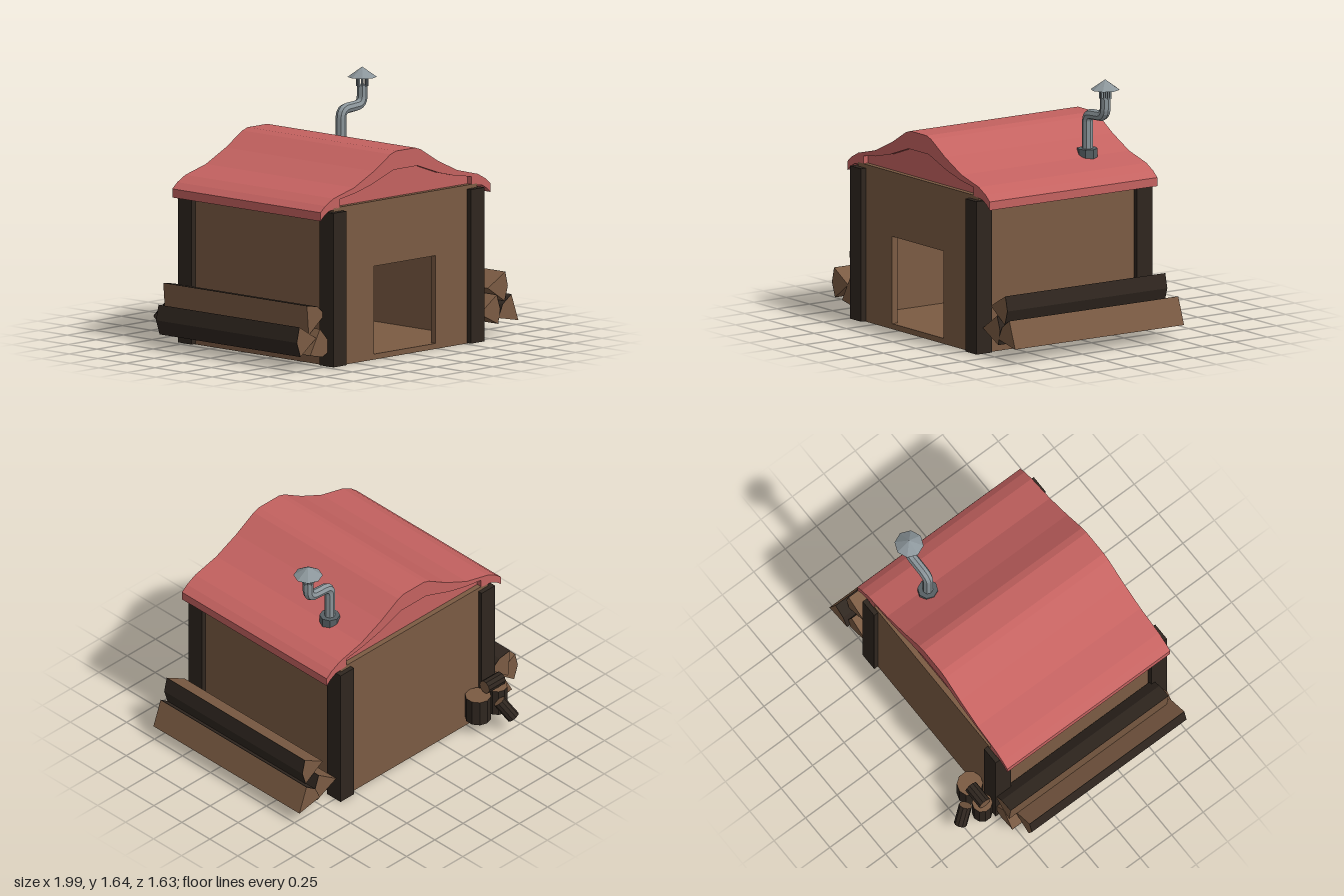
import * as THREE from 'three';

const mat = (color) => new THREE.MeshStandardMaterial({ color, flatShading: true, side: THREE.DoubleSide });

export function createModel() {
  const model = new THREE.Group();
  const wood = mat(0x7b5b43), bark = mat(0x2f261f), red = mat(0xc46260);
  const metal = mat(0x8c969b), darkMetal = mat(0x576064);

  const add = (name, geometry, material, parent = model) => {
    const mesh = new THREE.Mesh(geometry, material);
    mesh.name = name;
    parent.add(mesh);
    return mesh;
  };
  // box given by its minimum and maximum corners
  const box = (name, a, b, material) => {
    const m = add(name, new THREE.BoxGeometry(b[0] - a[0], b[1] - a[1], b[2] - a[2]), material);
    m.position.set((a[0] + b[0]) / 2, (a[1] + b[1]) / 2, (a[2] + b[2]) / 2);
    return m;
  };
  const shapeOf = (pts) => new THREE.Shape(pts.map((p) => new THREE.Vector2(p[0], p[1])));
  // outline in x and y, extruded from z0 to z1
  const extrude = (name, shape, z0, z1, material, parent) => {
    const g = new THREE.ExtrudeGeometry(shape, { depth: z1 - z0, bevelEnabled: false });
    g.translate(0, 0, z0);
    return add(name, g, material, parent);
  };

  // hollow cabin with a door opening
  const L = -0.69, R = 0.61, F = 0.775, B = -0.52, T = 0.04, H = 1.015;
  const front = shapeOf([[L, 0.005], [R, 0.005], [R, H], [L, H]]);
  front.holes.push(new THREE.Path([[-0.32, 0.04], [-0.32, 0.6], [0.235, 0.6], [0.235, 0.04]]
    .map((p) => new THREE.Vector2(...p))));
  extrude('frontWall', front, F - T, F, wood);
  box('backWall', [L, 0.005, B], [R, H, B + T], wood);
  box('rightWall', [L, 0.005, B + T], [L + T, H, F - T], wood);
  box('leftWall', [R - T, 0.005, B + T], [R, H, F - T], wood);
  box('floor', [L + T, 0.005, B + T], [R - T, 0.04, F - T], wood);

  // corner posts
  for (const x of [-0.725, 0.522]) {
    for (const z of [-0.55, 0.69]) {
      box('cornerPost', [x, 0.008, z], [x + 0.119, 0.99, z + 0.12], bark);
    }
  }

  // curved roof shell with recessed gables, mirrored about its ridge
  const ridge = -0.036;
  const mirror = (half) => [...half, ...half.slice().reverse().map(([x, y]) => [-x, y])]
    .map(([x, y]) => [x + ridge, y]);
  const outer = mirror([[-0.77, 1.0], [-0.725, 1.037], [-0.652, 1.075], [-0.465, 1.122],
    [-0.287, 1.205], [-0.135, 1.295], [-0.088, 1.31]]);
  const inner = mirror([[-0.595, 1.01], [-0.595, 1.065], [-0.46, 1.085], [-0.31, 1.122],
    [-0.11, 1.193]]);
  const lower = mirror([[-0.77, 0.945], [-0.735, 0.975], [-0.69, 1.0]]);
  const roof = new THREE.Group();
  roof.name = 'roof';
  model.add(roof);
  const shell = [...outer, ...lower.slice(3).reverse(), ...inner.slice().reverse(),
    ...lower.slice(0, 3).reverse()];
  extrude('roofShell', shapeOf(shell), B, F, red, roof);
  extrude('gables', shapeOf(inner), B + 0.035, F - 0.035, red, roof);

  // stove pipe with two bends
  const pz = -0.215;
  const v = (x, y) => new THREE.Vector3(x, y, pz);
  const path = new THREE.CurvePath();
  path.add(new THREE.LineCurve3(v(0.405, 1.08), v(0.405, 1.345)));
  path.add(new THREE.QuadraticBezierCurve3(v(0.405, 1.345), v(0.408, 1.395), v(0.46, 1.397)));
  path.add(new THREE.LineCurve3(v(0.46, 1.397), v(0.54, 1.402)));
  path.add(new THREE.QuadraticBezierCurve3(v(0.54, 1.402), v(0.595, 1.405), v(0.597, 1.46)));
  path.add(new THREE.LineCurve3(v(0.597, 1.46), v(0.597, 1.53)));
  const chimney = new THREE.Group();
  chimney.name = 'chimney';
  model.add(chimney);
  add('pipe', new THREE.TubeGeometry(path, 36, 0.034, 8), metal, chimney);
  add('pipeCollar', new THREE.CylinderGeometry(0.065, 0.065, 0.065, 8), darkMetal, chimney)
    .position.set(0.405, 1.138, pz);
  add('rainCap', new THREE.ConeGeometry(0.092, 0.065, 8), metal, chimney)
    .position.set(0.597, 1.612, pz);
  for (let i = 0; i < 8; i++) {
    const a = (i / 8) * Math.PI * 2;
    add('capStrut', new THREE.BoxGeometry(0.01, 0.07, 0.01), metal, chimney)
      .position.set(0.597 + Math.cos(a) * 0.032, 1.555, pz + Math.sin(a) * 0.032);
  }

  // split logs: wedge of wood with bark on the arc
  const splitLog = (x, y, r, a0, a1, z0, z1) => {
    const log = new THREE.Group();
    log.name = 'splitLog';
    model.add(log);
    const arc = (radius) => [0, 0.5, 1].map((t) => {
      const a = THREE.MathUtils.degToRad(a0 + (a1 - a0) * t);
      return [x + Math.cos(a) * radius, y + Math.sin(a) * radius];
    });
    extrude('wedge', shapeOf([[x, y], ...arc(r - 0.003)]), z0, z1, wood, log);
    extrude('bark', shapeOf([...arc(r), ...arc(r - 0.003).reverse()]), z0, z1, bark, log);
  };
  splitLog(-0.85, 0.217, 0.19, 38, 95, -0.54, 0.715);
  splitLog(-0.825, 0.2, 0.175, 150, 216, -0.475, 0.755);
  splitLog(-0.795, 0.255, 0.183, 241, 313, -0.54, 0.76);
  splitLog(0.725, 0.33, 0.18, -33, 29, -0.475, 0.76);
  splitLog(0.645, 0.175, 0.187, -26, 34, -0.515, 0.765);
  splitLog(0.995, 0.095, 0.185, 110, 169, -0.54, 0.765);

  // round logs behind the cabin, between two end points
  const roundLog = (name, a, b, r) => {
    const p = new THREE.Vector3(...a), q = new THREE.Vector3(...b);
    const g = new THREE.CylinderGeometry(r, r, p.distanceTo(q), 10);
    const m = add(name, g, [bark, wood, wood]);
    m.position.copy(p).lerp(q, 0.5);
    m.quaternion.setFromUnitVectors(new THREE.Vector3(0, 1, 0), q.sub(p).normalize());
  };
  roundLog('largeStump', [-0.525, 0.09, -0.6], [-0.525, 0.265, -0.6], 0.083);
  roundLog('smallStump', [-0.675, 0.09, -0.618], [-0.675, 0.27, -0.618], 0.065);
  roundLog('lyingLog', [-0.705, 0.318, -0.62], [-0.562, 0.318, -0.62], 0.044);
  roundLog('leaningLog', [-0.612, 0.226, -0.702], [-0.66, 0.118, -0.78], 0.042);

  return model;
}
